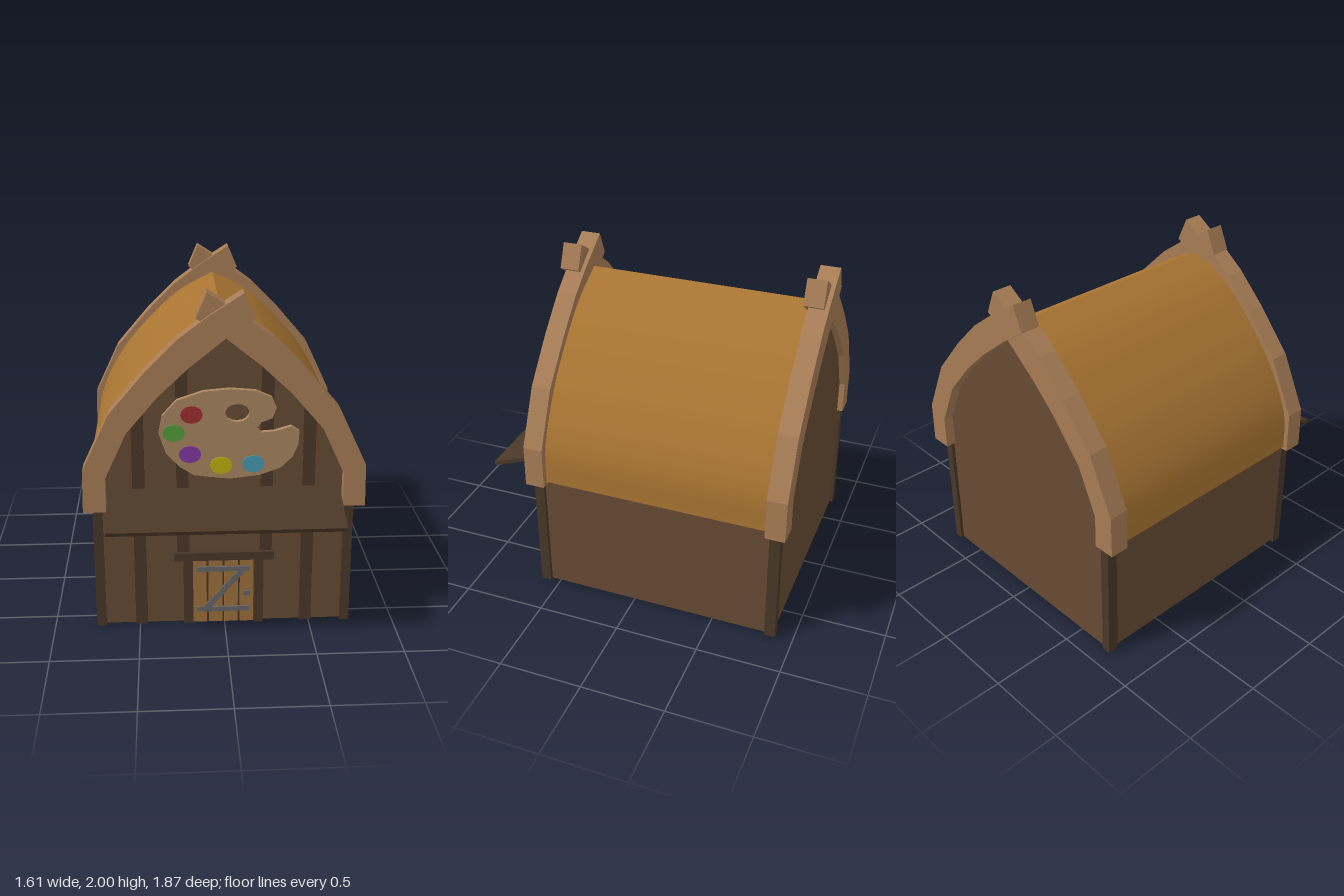
import * as THREE from 'three';
import { toCreasedNormals } from 'three/addons/utils/BufferGeometryUtils.js';

const mat = (color, flatShading = true) => new THREE.MeshStandardMaterial({ color, flatShading });
const wallMat = mat(0x664a33), darkMat = mat(0x4a3728), beamMat = mat(0xa67c55);
const doorMat = mat(0x9c6f3a), metalMat = mat(0x666666), boardMat = mat(0xa88660);
const roofMat = mat(0xa87432, false);

const toShape = (pts) => new THREE.Shape(pts.map(([x, y]) => new THREE.Vector2(x, y)));
const mirrorX = (pts) => pts.map(([x, y]) => [-x, y]).reverse();

export function createModel() {
  const root = new THREE.Group();

  const add = (name, geometry, material, parent = root) => {
    const mesh = new THREE.Mesh(geometry, material);
    mesh.name = name;
    parent.add(mesh);
    return mesh;
  };
  // Box given by its limits on each axis
  const box = (name, x0, x1, y0, y1, z0, z1, material, parent) => {
    const m = add(name, new THREE.BoxGeometry(x1 - x0, y1 - y0, z1 - z0), material, parent);
    m.position.set((x0 + x1) / 2, (y0 + y1) / 2, (z0 + z1) / 2);
    return m;
  };
  const slab = (shape, z0, z1, curveSegments = 12) =>
    new THREE.ExtrudeGeometry(shape, { depth: z1 - z0, bevelEnabled: false, curveSegments }).translate(0, 0, z0);

  // House body with pointed gables
  const half = [[0.725, 0], [0.725, 0.96], [0.6, 1.26], [0.42, 1.47], [0.24, 1.64]];
  const body = toShape([...half, [0, 1.79], ...mirrorX(half)]);
  add('houseWalls', slab(body, -0.875, 0.59).translate(-0.007, 0, 0), wallMat);

  // Corner posts
  for (const [x0, x1] of [[-0.755, -0.7], [0.688, 0.742]])
    for (const [z0, z1] of [[0.56, 0.62], [-0.895, -0.83]])
      box('cornerPost', x0, x1, 0, 0.8, z0, z1, darkMat);

  // Curved roof shell: one smooth curve per side, meeting at the ridge
  const side = (pts) => new THREE.CatmullRomCurve3(pts.map(([x, y]) => new THREE.Vector3(x, y, 0)))
    .getPoints(24).map((p) => [p.x, p.y]);
  const outer = side([[0.773, 0.77], [0.755, 1.0], [0.61, 1.3], [0.42, 1.53], [0.22, 1.71], [0, 1.83]]);
  const inner = side([[0.71, 0.77], [0.7, 0.97], [0.56, 1.27], [0.38, 1.48], [0.2, 1.65], [0, 1.77]]);
  const roofShape = toShape([
    ...outer, ...mirrorX(outer).slice(1),
    ...mirrorX(inner).reverse(), ...inner.slice(0, -1).reverse(),
  ]);
  add('roof', toCreasedNormals(slab(roofShape, -0.85, 0.575), 0.5).translate(-0.005, 0, 0), roofMat);

  // Bent gable beams, crossing at the ridge
  const beam = [
    [-0.805, 0.75], [-0.675, 0.75], [-0.675, 0.95], [-0.55, 1.22], [-0.37, 1.43], [-0.2, 1.59], [0, 1.75], [0.16, 1.86],
    [0.1, 2], [-0.1, 1.87], [-0.26, 1.75], [-0.44, 1.57], [-0.645, 1.33], [-0.8, 1],
  ];
  for (const z of [0.55, -0.91]) {
    add('gableBeamRight', slab(toShape(beam), z, z + 0.115), beamMat);
    add('gableBeamLeft', slab(toShape(mirrorX(beam)), z - 0.025, z + 0.092), beamMat);
  }

  // Front wall studs
  for (const [x, y0, y1] of [[-0.49, 0, 1.33], [-0.24, 0.44, 1.6], [0.24, 0.44, 1.6], [0.48, 0, 1.33]])
    box('wallStud', x - 0.035, x + 0.035, y0, y1, 0.57, 0.612, darkMat);

  // Sloping awning
  const awning = add('awning', new THREE.BoxGeometry(1.325, 0.025, 0.36), darkMat);
  awning.position.set(-0.005, 0.798, 0.764);
  awning.rotation.x = 0.36;

  // Door with frame, planks and ironwork
  const door = new THREE.Group();
  door.name = 'door';
  root.add(door);
  box('doorPostRight', -0.24, -0.185, 0, 0.42, 0.57, 0.622, darkMat, door);
  box('doorPostLeft', 0.175, 0.228, 0, 0.42, 0.57, 0.622, darkMat, door);
  box('lintel', -0.295, 0.288, 0.415, 0.465, 0.57, 0.632, darkMat, door);
  box('doorBacking', -0.185, 0.175, 0, 0.415, 0.57, 0.594, darkMat, door);
  for (let i = 0; i < 4; i++) {
    const x = -0.185 + i * 0.092;
    box('doorPlank', x, x + 0.08, 0, 0.415, 0.58, 0.606, doorMat, door);
  }
  box('upperStrap', -0.165, 0.15, 0.335, 0.365, 0.6, 0.616, metalMat, door);
  box('lowerStrap', -0.165, 0.15, 0.073, 0.102, 0.6, 0.616, metalMat, door);
  const brace = toShape([[-0.125, 0.1], [-0.08, 0.1], [0.125, 0.336], [0.08, 0.336]]);
  add('diagonalStrap', slab(brace, 0.6, 0.615), metalMat, door);
  box('doorHandle', 0.113, 0.15, 0.173, 0.205, 0.6, 0.618, metalMat, door);

  // Painter's palette sign with thumb hole
  const sign = new THREE.Group();
  sign.name = 'paletteSign';
  root.add(sign);
  const palette = toShape([
    [-0.37, 1.21], [-0.35, 1.31], [-0.27, 1.4], [-0.12, 1.45], [0.03, 1.462], [0.17, 1.45], [0.26, 1.41], [0.285, 1.35],
    [0.263, 1.29], [0.2, 1.265], [0.18, 1.235], [0.2, 1.207], [0.275, 1.212], [0.37, 1.24], [0.415, 1.21], [0.41, 1.13],
    [0.38, 1.06], [0.315, 0.995], [0.195, 0.953], [0.025, 0.933], [-0.175, 0.958], [-0.255, 1.01], [-0.33, 1.09],
  ].reverse());
  palette.holes.push(new THREE.Path().absellipse(0.068, 1.323, 0.068, 0.052, 0, Math.PI * 2, true));
  add('palette', slab(palette, 0.612, 0.645, 8), boardMat, sign);

  // Paint blobs
  const paints = [
    ['redPaint', -0.187, 1.318, 0x9b2d2f], ['greenPaint', -0.286, 1.212, 0x549b3a],
    ['purplePaint', -0.197, 1.085, 0x8238a0], ['yellowPaint', -0.023, 1.016, 0xbcb00c],
    ['bluePaint', 0.158, 1.022, 0x4598b4],
  ];
  for (const [name, x, y, color] of paints) {
    const blob = add(name, new THREE.CylinderGeometry(1, 1, 1, 16).rotateX(Math.PI / 2), mat(color), sign);
    blob.scale.set(0.062, 0.05, 0.014);
    blob.position.set(x, y, 0.646);
  }
  return root;
}
